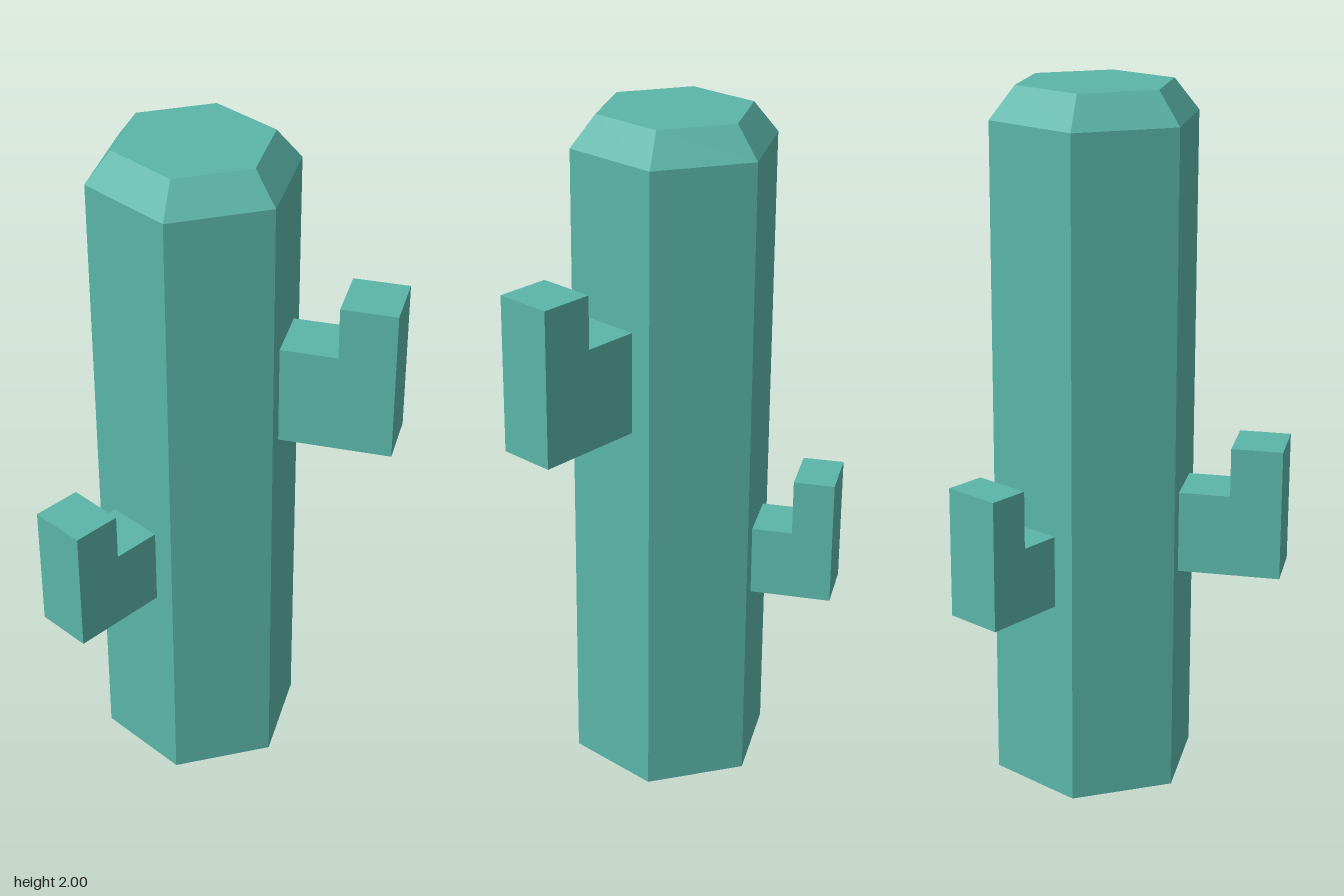
import * as THREE from 'three';

const SIDES = 6;
const ARM_WIDTH = 0.168;

export function createModel() {
  const group = new THREE.Group();
  group.name = 'cactus';
  const material = new THREE.MeshStandardMaterial({ color: 0x5ab5a8, flatShading: true });

  // Hexagonal trunk with a bevelled top; doubled points keep the edges hard
  const profile = [[0, 0], [0.298, 0], [0.298, 0], [0.298, 1.91], [0.298, 1.91], [0.225, 2], [0.225, 2], [0, 2]]
    .map(([r, y]) => new THREE.Vector2(r, y));
  const trunk = new THREE.Mesh(new THREE.LatheGeometry(profile, SIDES), material);
  trunk.name = 'trunk';
  group.add(trunk);

  // L-shaped arm: reaches out from inside the trunk, then steps up at the tip
  function addArm(name, degrees, { bottom, shelf, top, step, end }) {
    const root = 0.2;
    const outline = [[root, bottom], [end, bottom], [end, top], [step, top], [step, shelf], [root, shelf]];
    const shape = new THREE.Shape(outline.map(([x, y]) => new THREE.Vector2(x, y)));
    const geometry = new THREE.ExtrudeGeometry(shape, { depth: ARM_WIDTH, bevelEnabled: false });
    geometry.translate(0, 0, -ARM_WIDTH / 2);
    const arm = new THREE.Mesh(geometry, material);
    arm.name = name;
    arm.rotation.y = THREE.MathUtils.degToRad(degrees);
    group.add(arm);
  }

  addArm('leftArm', 0, { bottom: 1.14, shelf: 1.44, top: 1.595, step: 0.422, end: 0.582 });
  addArm('frontArm', -120, { bottom: 0.64, shelf: 0.875, top: 1.015, step: 0.402, end: 0.546 });
  addArm('backArm', 120, { bottom: 0.577, shelf: 0.785, top: 0.95, step: 0.375, end: 0.493 });

  // Trunk sits off-centre so that the whole plant is centred
  group.position.set(-0.12, 0, -0.025);
  const model = new THREE.Group();
  model.name = 'cactusModel';
  model.add(group);
  return model;
}
